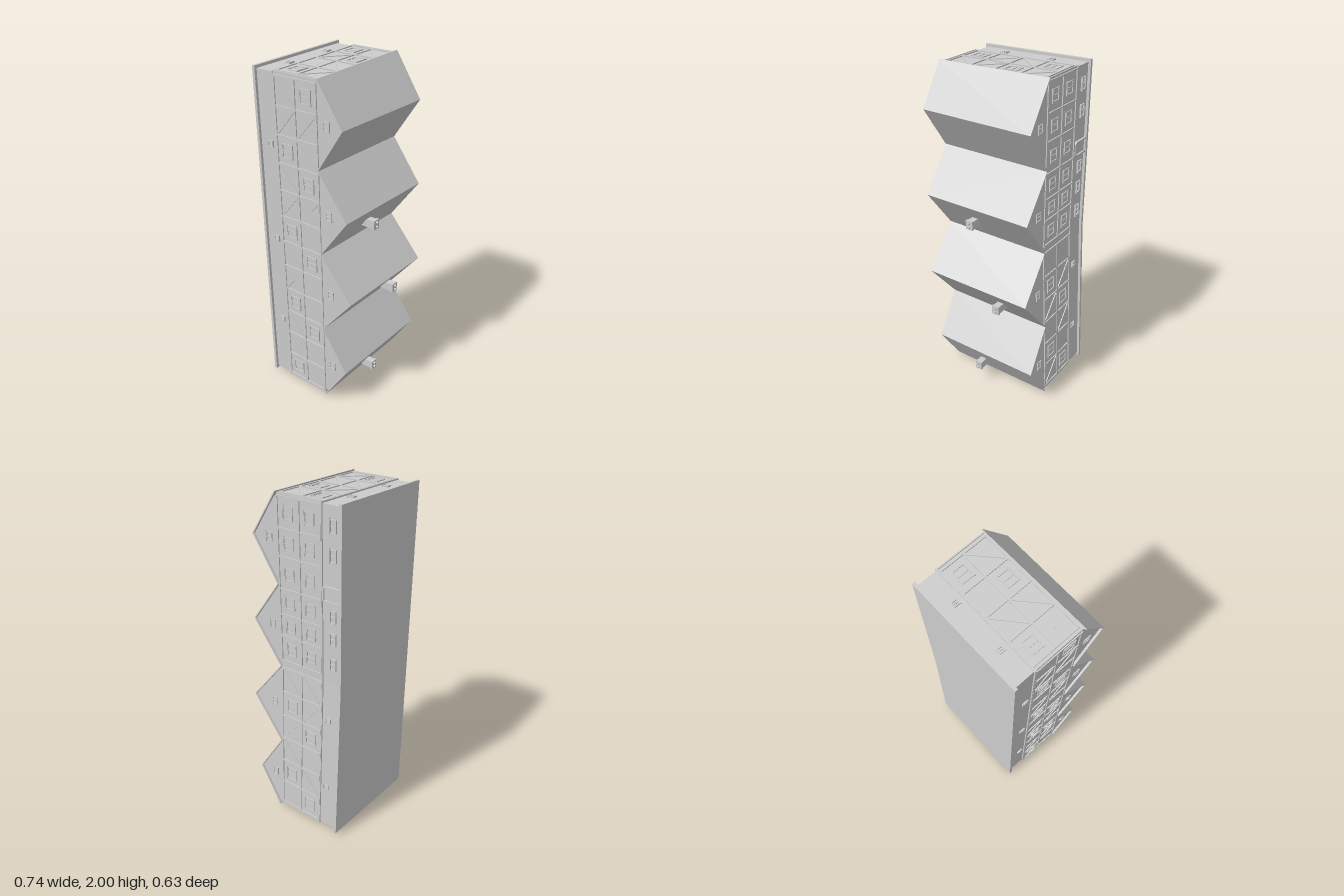
import * as THREE from 'three';
import { ConvexGeometry } from 'three/addons/geometries/ConvexGeometry.js';

const grey = new THREE.MeshStandardMaterial({ color: 0xcccccc });
grey.name = 'plain grey';

// Footprint edges as functions of y; the right side bends at y = 1
const xLeft = (y) => -0.33 - 0.04 * y / 1.985;
const xRight = (y) => (y > 1 ? 0.325 : 0.365 - 0.04 * (y - 0.02) / 0.98);

// Counter-clockwise footprint, drawn in by d
const footprint = (d) => [
  [xRight(0.02) - d, 0.02 + d], [0.325 - d, 1], [0.325 - d, 2 - d],
  [-0.37 + d, 1.985 - d], [-0.33 + d, d],
];

function add(parent, name, geometry) {
  const mesh = new THREE.Mesh(geometry, grey);
  mesh.name = name;
  parent.add(mesh);
  return mesh;
}

function box(parent, name, x, y, z, w, h, d, turn = 0) {
  const mesh = add(parent, name, new THREE.BoxGeometry(w, h, d));
  mesh.position.set(x, y, z);
  mesh.rotation.z = turn;
  return mesh;
}

function hull(parent, name, points) {
  return add(parent, name, new ConvexGeometry(points.map((p) => new THREE.Vector3(...p))));
}

// Storey or slab with the given inset, from z0 to z1
function storey(parent, name, inset, z0, z1) {
  const shape = new THREE.Shape(footprint(inset).map((p) => new THREE.Vector2(...p)));
  const geometry = new THREE.ExtrudeGeometry(shape, { depth: z1 - z0, bevelEnabled: false });
  add(parent, name, geometry.translate(0, 0, z0));
}

// Group on a wall from p to q: local x along the wall, y to the roof, z outwards
function wallGroup(parent, name, p, q) {
  const wall = new THREE.Group();
  wall.name = name;
  const u = new THREE.Vector3(q[0] - p[0], q[1] - p[1], 0);
  wall.userData.length = u.length();
  u.normalize();
  const v = new THREE.Vector3(0, 0, 1);
  wall.quaternion.setFromRotationMatrix(new THREE.Matrix4().makeBasis(u, v, u.clone().cross(v)));
  wall.position.set(p[0], p[1], 0);
  parent.add(wall);
  return wall;
}

function window_(wall, x, y, w, h) {
  const g = new THREE.Group();
  g.name = 'window';
  g.position.set(x, y, 0);
  wall.add(g);
  const t = 0.005;
  for (const s of [-1, 1]) {
    box(g, 'windowJamb', s * (w - t) / 2, 0, 0, t, h, 0.01);
    box(g, 'windowRail', 0, s * (h - t) / 2, 0, w, t, 0.01);
  }
  box(g, 'windowMullion', 0, 0, 0, t, h, 0.007);
  box(g, 'windowLintel', 0, h / 2 + 0.001, 0, w + 0.008, 0.004, 0.014);
}

const beam = 0.009, depth = 0.012;
const rows = [[-0.175, -0.04], [-0.04, 0.103]];

// Timber frame; each row is a string of cells: W window, / or \ brace
function timberFrame(wall, posts, cells) {
  const a = posts[0], b = posts[posts.length - 1];
  for (const y of [-0.178, -0.04, 0.103]) box(wall, 'rail', (a + b) / 2, y, 0, b - a + beam, beam, depth);
  for (const x of posts) box(wall, 'post', x, -0.037, 0, beam, 0.285, depth + 0.001);
  rows.forEach(([y0, y1], r) => {
    for (let i = 0; i < posts.length - 1; i++) {
      const w = posts[i + 1] - posts[i], h = y1 - y0;
      const x = posts[i] + w / 2, y = (y0 + y1) / 2, c = cells[r][i];
      if (c === 'W') window_(wall, x, y, 0.08, 0.072);
      else if (c === 'w') window_(wall, x, y, 0.07, 0.062);
      else box(wall, 'brace', x, y, 0, Math.hypot(w, h) - 0.012, beam, depth - 0.002,
        (c === '/' ? 1 : -1) * Math.atan2(h, w));
    }
  });
}

const evenPosts = (a, b, n) => Array.from({ length: n + 1 }, (_, i) => a + (b - a) * i / n);

export function createModel() {
  const model = new THREE.Group();
  model.name = 'townhouse';

  // Solid body
  storey(model, 'baseSlab', 0, -0.317, -0.3);
  storey(model, 'groundFloor', 0.016, -0.3, -0.18);
  storey(model, 'upperFloor', 0.013, -0.185, 0.108);
  storey(model, 'jettyBeam', 0.008, -0.188, -0.18);

  // Walls in order: right lower, right upper, top end, left, bottom end
  const c = footprint(0.013);
  const names = ['rightLowerWall', 'rightUpperWall', 'topEndWall', 'leftWall', 'bottomEndWall'];
  const walls = names.map((n, i) => wallGroup(model, n, c[i], c[(i + 1) % 5]));
  const len = walls.map((w) => w.userData.length);

  timberFrame(walls[0], evenPosts(0.015, len[0] - 0.01, 6), ['W/\\W\\/', '\\W/\\W/']);
  timberFrame(walls[1], [0.04, 0.195, 0.325, 0.475, 0.655, 0.81, len[1] - 0.01], ['wwwwww', 'wwwwww']);
  timberFrame(walls[2], evenPosts(0.022, len[2] - 0.022, 4), ['W\\/W', '/W/\\']);
  timberFrame(walls[3], evenPosts(0.015, len[3] - 0.015, 12),
    ['/\\W/\\W/\\W/\\W', 'W\\/W\\/W\\/W\\/']);
  timberFrame(walls[4], evenPosts(0.022, len[4] - 0.022, 4), ['W\\/W', '/W/\\']);

  // Corner posts on the end walls
  for (const i of [2, 4]) {
    for (const x of [0.003, len[i] - 0.003]) box(walls[i], 'cornerPost', x, -0.037, 0, 0.006, 0.285, depth);
  }

  // Ground floor windows
  const small = [[0.28, 0.73], [], [0.188, 0.493], [0.4, 0.98, 1.55], [0.188, 0.493]];
  small.forEach((list, i) => list.forEach((x) => window_(walls[i], x, -0.23, 0.03, 0.034)));
  for (const x of [0.12, 0.27, 0.4, 0.73, 0.88]) window_(walls[1], x, -0.255, 0.07, 0.04);

  // Doorway with a chamfered surround
  const arch = new THREE.Shape([[-0.045, -0.3], [0.045, -0.3], [0.045, -0.2], [0.035, -0.188],
    [-0.035, -0.188], [-0.045, -0.2]].map((p) => new THREE.Vector2(...p)));
  arch.holes.push(new THREE.Path([[-0.034, -0.295], [-0.034, -0.2], [0.034, -0.2], [0.034, -0.295]]
    .map((p) => new THREE.Vector2(...p))));
  const surround = add(walls[1], 'doorSurround',
    new THREE.ExtrudeGeometry(arch, { depth: 0.014, bevelEnabled: false }));
  surround.position.set(0.517, 0, -0.005);
  box(walls[1], 'door', 0.517, -0.248, -0.002, 0.066, 0.094, 0.006);

  // Four gabled roofs with attics between the slopes
  const eave = 0.11, t = 0.007, inset = 0.013;
  [0.275, 0.315, 0.295, 0.275].forEach((ridge, i) => {
    const y0 = i * 0.5, ym = y0 + 0.25, y1 = y0 + 0.5;
    const zAt = (y) => ridge - (ridge - eave) * Math.abs(y - ym) / 0.25;
    for (const [s, ye] of [[-1, y0], [1, y1]]) {
      // Outer eaves follow the skewed end walls
      const yl = i === 3 && s > 0 ? 1.985 : ye;
      const yr = i === 0 && s < 0 ? 0.02 : ye;
      const top = [[xLeft(yl), yl, zAt(yl)], [xRight(yr), yr, zAt(yr)],
        [xLeft(ym), ym, ridge], [xRight(ym), ym, ridge]];
      hull(model, 'roofSlope', [...top, ...top.map(([x, y, z]) => [x, y, z - t])]);
    }
    const a = Math.max(y0, 0.034), b = Math.min(y1, 1.97);
    const attic = [[a, zAt(a) - t], [ym, ridge - t], [b, zAt(b) - t], [a, 0.1], [b, 0.1]];
    hull(model, 'gableAttic', attic.flatMap(([y, z]) =>
      [[xLeft(y) + inset, y, z], [xRight(y) - inset, y, z]]));

    // Gable windows on both sides
    const right = walls[i < 2 ? 0 : 1];
    window_(right, i < 2 ? ym - c[0][1] : ym - 1, 0.165, 0.05, 0.04);
    window_(walls[3], c[3][1] - ym, 0.165, 0.05, 0.04);
  });

  // Chimneys
  for (const [x, y, z] of [[-0.07, 1.133, 0.29], [0.115, 0.636, 0.303], [-0.04, 0.133, 0.275]]) {
    box(model, 'chimney', x, y, z - 0.065, 0.04, 0.048, 0.11);
    box(model, 'chimneyCap', x, y, z - 0.015, 0.046, 0.055, 0.014);
    for (const s of [-1, 1]) {
      const pot = add(model, 'chimneyPot', new THREE.CylinderGeometry(0.007, 0.008, 0.014, 8));
      pot.rotation.x = Math.PI / 2;
      pot.position.set(x, y + s * 0.013, z - 0.004);
    }
  }
  return model;
}
